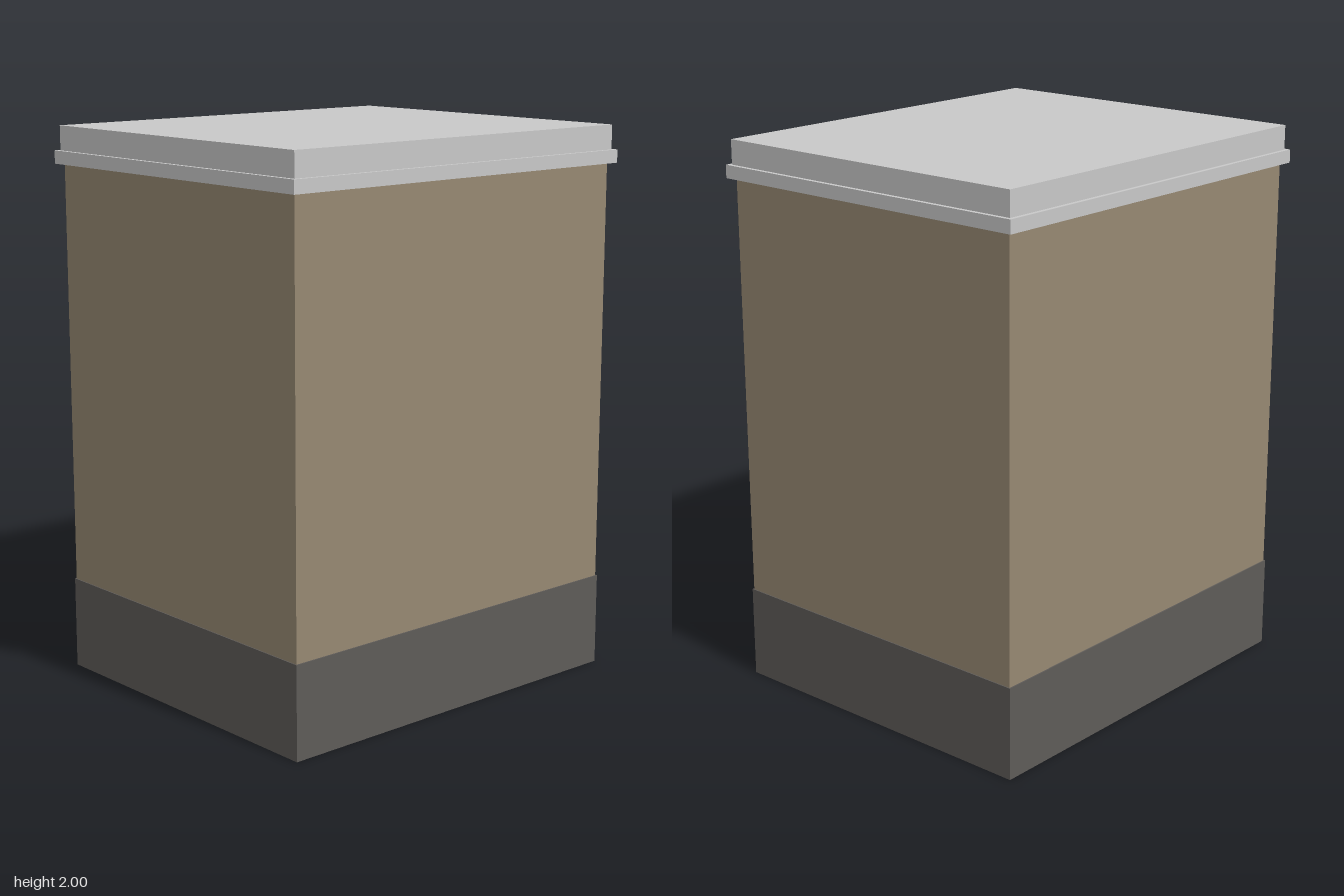
import * as THREE from 'three';

const material = (name, color) => {
  const m = new THREE.MeshStandardMaterial({ color });
  m.name = name;
  return m;
};

export function createModel() {
  const group = new THREE.Group();
  group.name = 'box';

  const tan = material('tan wall', 0x968872);
  const charcoal = material('charcoal base', 0x5e5b58);
  const grey = material('light grey roof', 0xc8c8c8);

  // Adds a centred block spanning bottom to top
  const block = (name, width, depth, bottom, top, mat) => {
    const mesh = new THREE.Mesh(new THREE.BoxGeometry(width, top - bottom, depth), mat);
    mesh.name = name;
    mesh.position.y = (bottom + top) / 2;
    group.add(mesh);
  };

  // Plinth, slightly proud of the walls
  block('base', 1.258, 1.47, 0, 0.335, charcoal);
  // Walls, starting just inside the plinth
  block('body', 1.248, 1.462, 0.02, 1.88, tan);
  // Projecting rim and the cap above it
  block('roofRim', 1.3, 1.51, 1.865, 1.912, grey);
  block('roofCap', 1.27, 1.48, 1.9, 2, grey);

  return group;
}
